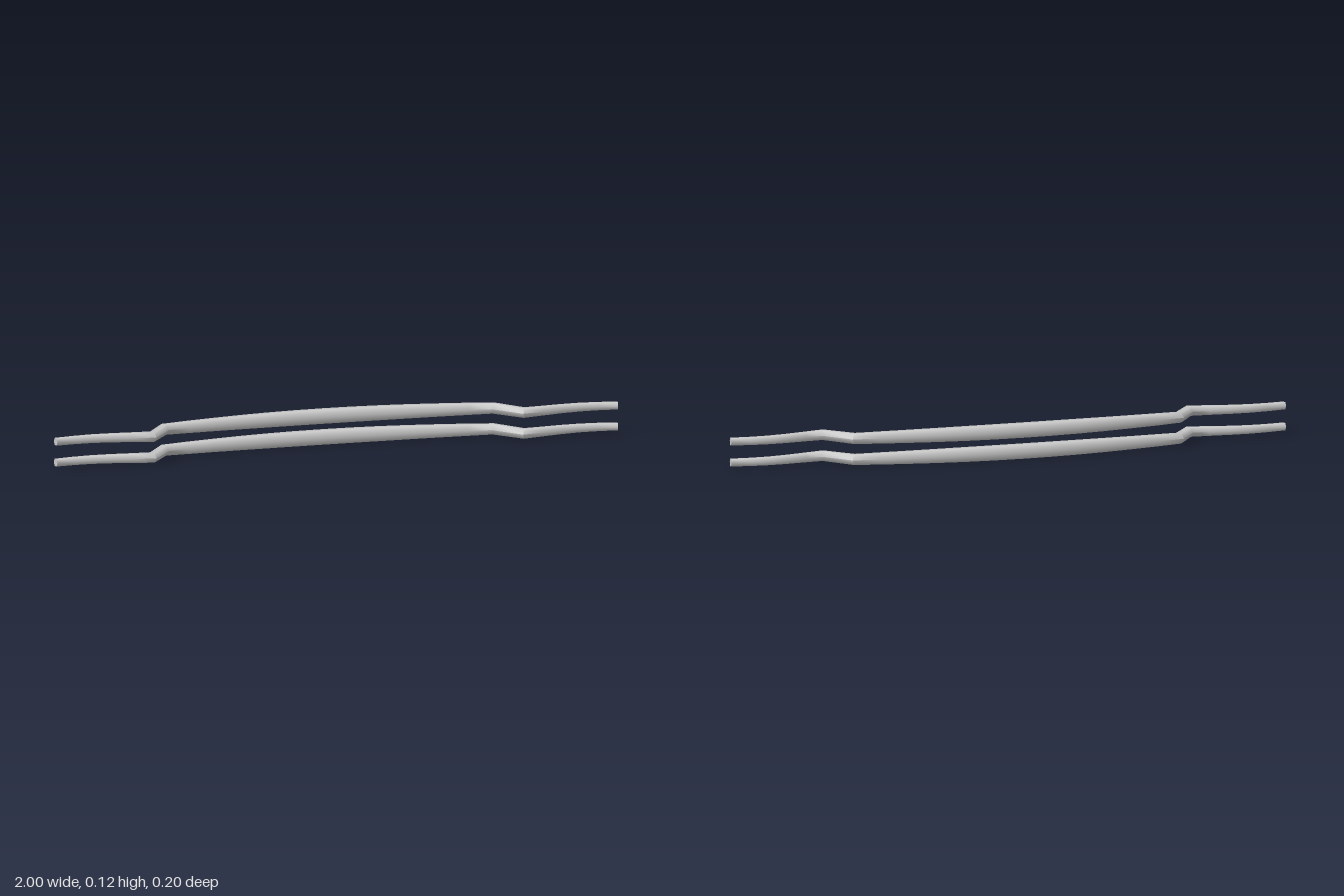
import * as THREE from 'three';
import { toCreasedNormals } from 'three/addons/utils/BufferGeometryUtils.js';

const SIDES = 6;

// Half of the bar's centre line from the middle outwards: [x, z, radius]
const HALF = [
  [0, -0.073, 0.0277],
  [0.1, -0.0715, 0.0275],
  [0.2, -0.067, 0.0268],
  [0.3, -0.06, 0.0255],
  [0.4, -0.05, 0.0238],
  [0.5, -0.038, 0.022],
  [0.585, -0.025, 0.02],
  [0.66, 0.08, 0.0188],
  [0.73, 0.068, 0.0175],
  [0.8, 0.056, 0.0165],
  [0.865, 0.05, 0.0157],
  [0.93, 0.053, 0.015],
  [0.998, 0.063, 0.0143],
];

// Sweeps a tapering hexagon along the centre line, with mitred corners
function barGeometry() {
  const path = [...HALF.slice(1).reverse().map(([x, z, r]) => [-x, z, r]), ...HALF];
  const pts = path.map(([x, z]) => new THREE.Vector2(x, z));
  const dirs = pts.slice(1).map((p, i) => p.clone().sub(pts[i]).normalize());
  const pos = [];
  const index = [];
  const last = path.length - 1;

  path.forEach(([x, z, r], i) => {
    const before = dirs[Math.max(i - 1, 0)];
    const after = dirs[Math.min(i, last - 1)];
    const t = before.clone().add(after).normalize();
    const miter = r / t.dot(after);
    for (let j = 0; j < SIDES; j++) {
      const a = (j / SIDES) * Math.PI * 2;
      const side = Math.cos(a) * miter;
      pos.push(x - t.y * side, -Math.sin(a) * r, z + t.x * side);
    }
  });

  for (let i = 0; i < last; i++) {
    for (let j = 0; j < SIDES; j++) {
      const k = (j + 1) % SIDES;
      const a = i * SIDES + j, b = i * SIDES + k;
      index.push(a, b, b + SIDES, a, b + SIDES, a + SIDES);
    }
  }

  // Flat end caps
  const end = last * SIDES;
  for (let j = 1; j < SIDES - 1; j++) {
    index.push(0, j + 1, j, end, end + j, end + j + 1);
  }

  const geo = new THREE.BufferGeometry();
  geo.setAttribute('position', new THREE.Float32BufferAttribute(pos, 3));
  geo.setIndex(index);
  return toCreasedNormals(geo, 1.2);
}

export function createModel() {
  const group = new THREE.Group();
  group.name = 'pairOfBars';
  const material = new THREE.MeshStandardMaterial({ color: 0xcccccc });
  const geometry = barGeometry();

  // Two identical bars, one above the other
  for (const [name, y] of [['lowerBar', 0.024], ['upperBar', 0.096]]) {
    const bar = new THREE.Mesh(geometry, material);
    bar.name = name;
    bar.position.y = y;
    group.add(bar);
  }
  return group;
}
